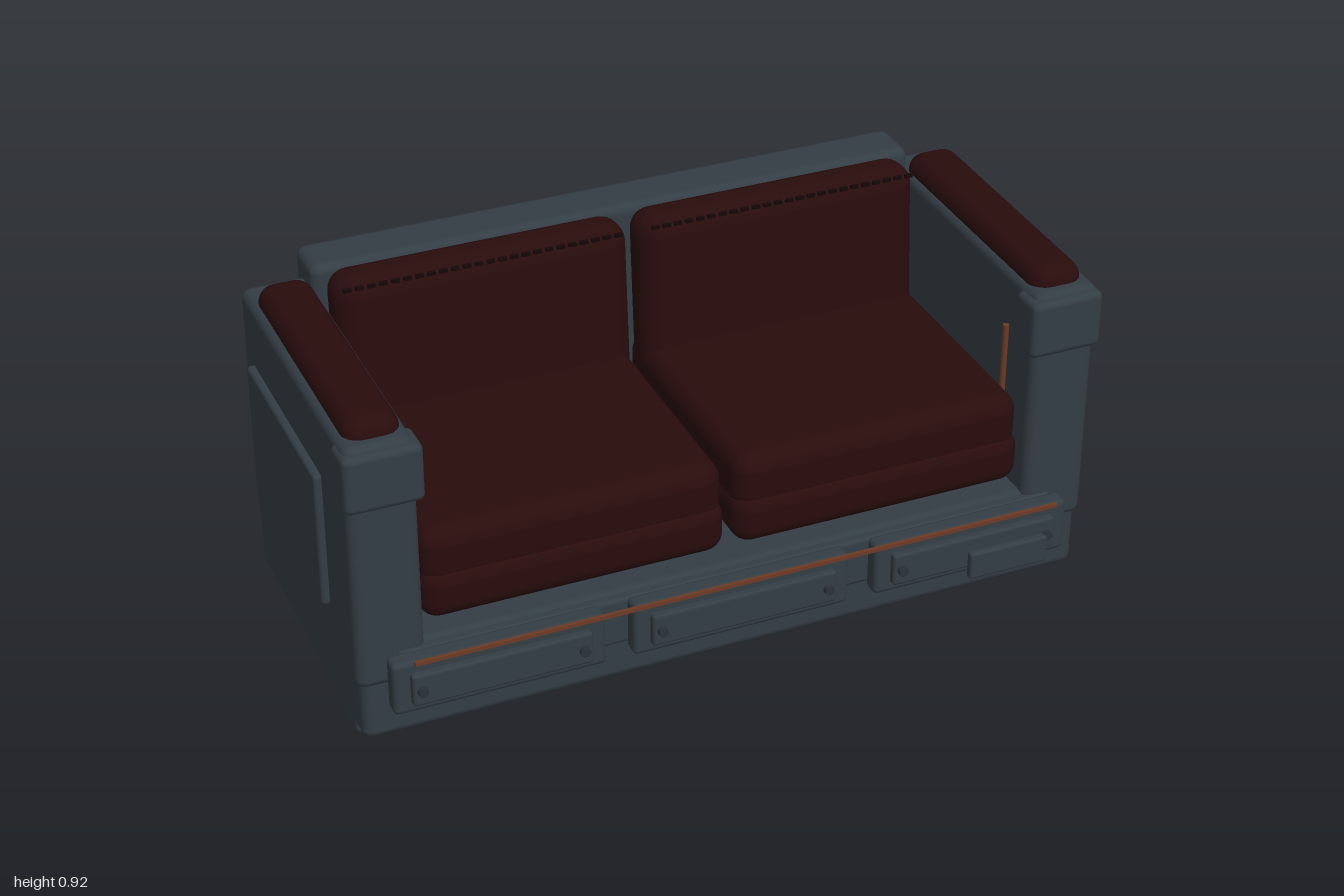
import * as THREE from 'three';
import { RoundedBoxGeometry } from 'three/addons/geometries/RoundedBoxGeometry.js';

export function createModel() {
  const sofa = new THREE.Group();
  sofa.name = 'sofa';

  const material = (name, color) => {
    const m = new THREE.MeshStandardMaterial({ color });
    m.name = name;
    return m;
  };
  const grey = material('slate frame', 0x333d44);
  const maroon = material('maroon leather', 0x290c0c);
  const dark = material('dark stitching', 0x140707);
  const copper = material('copper trim', 0x6b3a24);
  const steel = material('dark steel', 0x293138);

  const place = (name, geometry, mat, x, y, z) => {
    const mesh = new THREE.Mesh(geometry, mat);
    mesh.name = name;
    mesh.position.set(x, y, z);
    sofa.add(mesh);
    return mesh;
  };
  // Box given by its extents; a radius above 0 rounds the edges
  const box = (name, mat, [x0, x1], [y0, y1], [z0, z1], r = 0, segments = 2) => {
    const w = x1 - x0, h = y1 - y0, d = z1 - z0;
    const geometry = r > 0 ? new RoundedBoxGeometry(w, h, d, segments, r) : new THREE.BoxGeometry(w, h, d);
    return place(name, geometry, mat, (x0 + x1) / 2, (y0 + y1) / 2, (z0 + z1) / 2);
  };
  const mirror = (side, a, b) => (side > 0 ? [a, b] : [-b, -a]);

  // Base and backrest
  box('base', grey, [-0.97, 0.97], [0.02, 0.28], [-0.45, 0.397], 0.025);
  box('backrest', grey, [-0.82, 0.82], [0.32, 0.92], [-0.465, -0.325], 0.025);
  box('backPanel', grey, [-0.72, 0.72], [0.425, 0.815], [-0.497, -0.455], 0.012);

  for (const s of [1, -1]) {
    // Arm with its front cap, pad, outer panel and foot
    box('arm', grey, mirror(s, 0.805, 0.98), [0.178, 0.857], [-0.42, 0.405], 0.025);
    box('armCap', grey, mirror(s, 0.79, 0.987), [0.688, 0.843], [0.323, 0.422], 0.018);
    box('armPad', maroon, mirror(s, 0.82, 0.96), [0.8, 0.902], [-0.355, 0.37], 0.045, 4);
    box('sidePanel', grey, mirror(s, 0.965, 1.0), [0.31, 0.682], [-0.335, 0.213], 0.01);
    box('foot', grey, mirror(s, 0.815, 0.97), [0, 0.097], [0.178, 0.335], 0.012);
    const strip = new THREE.CylinderGeometry(0.008, 0.008, 0.34, 10);
    place('armTrim', strip, copper, s * 0.793, 0.55, 0.283);

    // Seat cushion in two soft layers
    box('seatCushionLower', maroon, mirror(s, 0.012, 0.802), [0.31, 0.455], [-0.33, 0.39], 0.05, 4);
    box('seatCushionUpper', maroon, mirror(s, 0.016, 0.798), [0.4, 0.56], [-0.33, 0.378], 0.05, 4);

    // Back cushion leaning backwards
    const back = box('backCushion', maroon, mirror(s, 0.015, 0.79), [0.41, 0.92], [-0.33, -0.2], 0.055, 4);
    back.rotation.x = -0.07;

    // Row of stitches along the top of the back cushion
    for (let i = 0; i < 24; i++) {
      const x = s * (0.05 + i * 0.031);
      box('stitch', dark, [x - 0.01, x + 0.01], [0.9, 0.909], [-0.221, -0.212]);
    }
  }

  // Front rail and drawers
  box('frontRail', grey, [-0.88, 0.88], [0.138, 0.272], [0.38, 0.417], 0.012);
  const drawers = [[-0.91, -0.365], [-0.293, 0.287], [0.36, 0.902]];
  for (const [x0, x1] of drawers) {
    box('drawer', grey, [x0, x1], [0.123, 0.272], [0.408, 0.46], 0.014);
    box('drawerPanel', grey, [x0 + 0.043, x1 - 0.041], [0.152, 0.242], [0.44, 0.479], 0.008);
    for (const x of [x0 + 0.066, x1 - 0.066]) {
      const bolt = new THREE.CylinderGeometry(0.013, 0.013, 0.016, 14);
      bolt.rotateX(Math.PI / 2);
      place('drawerBolt', bolt, steel, x, 0.197, 0.484);
    }
  }
  box('drawerPlate', grey, [0.612, 0.832], [0.125, 0.203], [0.474, 0.498], 0.008);
  box('frontTrim', copper, [-0.86, 0.86], [0.276, 0.286], [0.475, 0.485]);

  return sofa;
}
